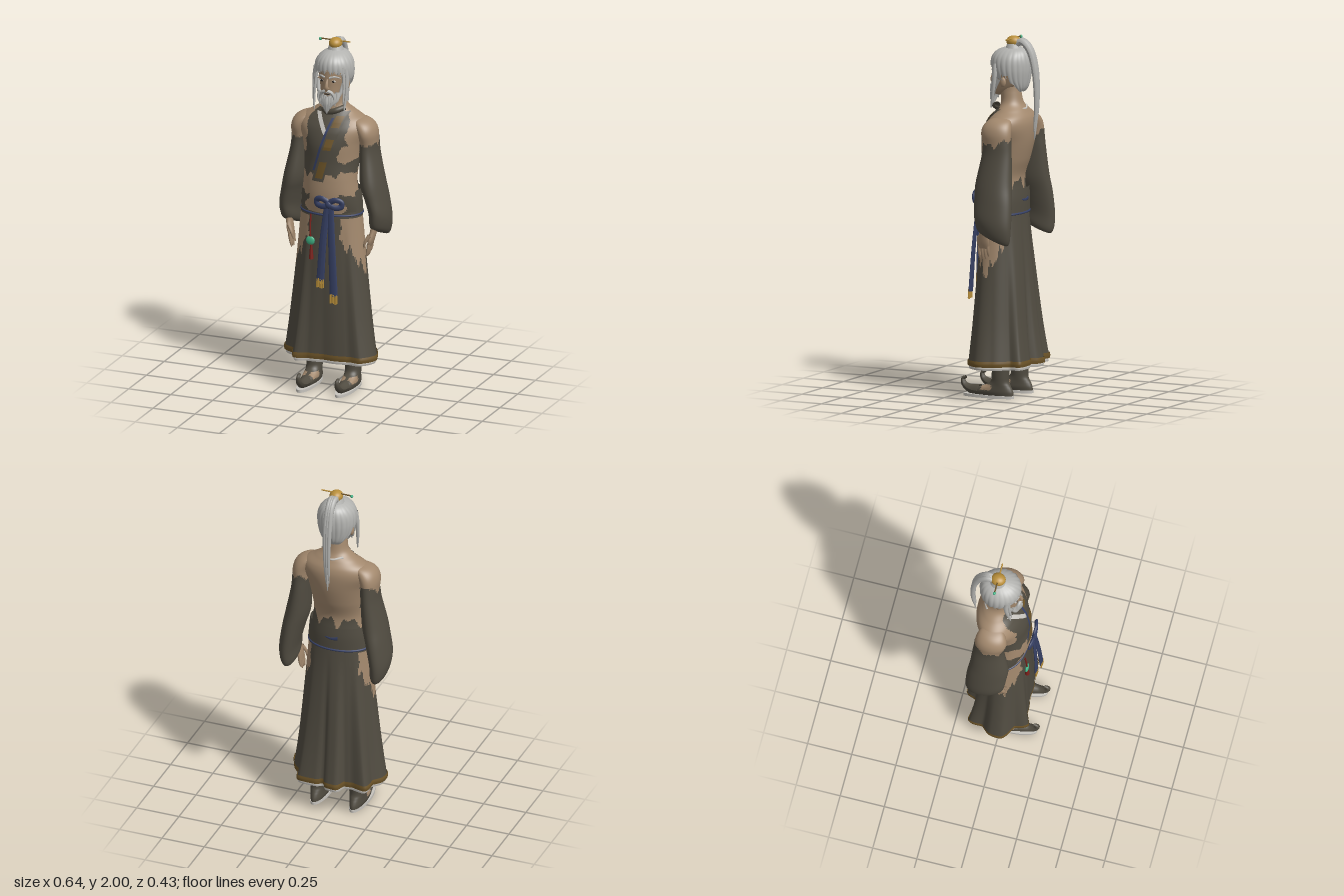
import * as THREE from 'three';

const mat = (name, color) => new THREE.MeshStandardMaterial({ name, color, side: THREE.DoubleSide });
const skin = mat('skin', 0xa2886d), cloth = mat('darkCloth', 0x514c41), hair = mat('greyHair', 0xb3b3b0),
  gold = mat('gold', 0xb98f3a), blue = mat('blueCord', 0x364064), jade = mat('jade', 0x40b083),
  red = mat('redCord', 0x7c211b), white = mat('paleSole', 0xc6c3bd), brown = mat('brownTrim', 0x6d5428),
  dark = mat('eyeDark', 0x2b2622);

const V = (x, y, z) => new THREE.Vector3(x, y, z);
const jag = v => 0.016 * Math.sin(v * 37) + 0.01 * Math.sin(v * 71 + 1);
const spline = (a, b, c, d, t) => b + 0.5 * t * (c - a + t * (2 * a - 5 * b + 4 * c - d + t * (3 * (b - c) + d - a)));

function add(parent, name, geo, material, pos = [0, 0, 0], scale = [1, 1, 1]) {
  const m = new THREE.Mesh(geo, material);
  m.name = name;
  m.position.set(...pos);
  m.scale.set(...scale);
  parent.add(m);
  return m;
}

// Smooth skin over elliptical rings [y, cx, cz, rx, rz], listed upwards.
// wave(angle, y) scales the radius; pick(x, y, z, angle) gives a material index or -1 for a gap.
function loft(rows, { n = 40, steps = 5, wave = () => 1, pick = () => 0, mats = 1, bend } = {}) {
  const pos = [], lists = Array.from({ length: mats }, () => []);
  const R = (rows.length - 1) * steps;
  for (let i = 0; i <= R; i++) {
    const k = Math.min(Math.floor(i / steps), rows.length - 2), t = i / steps - k;
    const at = j => rows[Math.max(0, Math.min(rows.length - 1, j))];
    const [y, cx, cz, rx, rz] = rows[0].map((_, c) => spline(at(k - 1)[c], at(k)[c], at(k + 1)[c], at(k + 2)[c], t));
    for (let j = 0; j < n; j++) {
      const a = j / n * Math.PI * 2, w = wave(a, y);
      const p = V(cx + rx * w * Math.sin(a), y, cz + rz * w * Math.cos(a));
      if (bend) bend(p);
      pos.push(p.x, p.y, p.z);
    }
  }
  for (let i = 0; i < R; i++) for (let j = 0; j < n; j++) {
    const a = i * n + j, b = i * n + (j + 1) % n, c = b + n, d = a + n;
    for (const f of [[a, b, c], [a, c, d]]) {
      const mid = o => (pos[f[0] * 3 + o] + pos[f[1] * 3 + o] + pos[f[2] * 3 + o]) / 3;
      let ang = (j + 0.5) / n * Math.PI * 2;
      if (ang > Math.PI) ang -= Math.PI * 2;
      const m = pick(mid(0), mid(1), mid(2), ang);
      if (m >= 0) lists[m].push(...f);
    }
  }
  const g = new THREE.BufferGeometry();
  g.setAttribute('position', new THREE.Float32BufferAttribute(pos, 3));
  g.setIndex(lists.flat());
  let start = 0;
  if (mats > 1) lists.forEach((l, m) => { g.addGroup(start, l.length, m); start += l.length; });
  g.computeVertexNormals();
  return g;
}

// Tube with radius rule r(t), squashed by [sx, sy, sz].
function strand(pts, r, squash = [1, 1, 1], closed = false, seg = 24) {
  const path = new THREE.CatmullRomCurve3(pts.map(p => V(...p)), closed);
  const g = new THREE.TubeGeometry(path, seg, 1, 10, closed), P = g.attributes.position;
  const s = V(...squash), v = V(0, 0, 0);
  for (let i = 0; i < P.count; i++) {
    const t = Math.floor(i / 11) / seg, c = path.getPointAt(t);
    v.fromBufferAttribute(P, i).sub(c).multiplyScalar(r(t)).multiply(s).add(c);
    P.setXYZ(i, v.x, v.y, v.z);
  }
  g.computeVertexNormals();
  return g;
}
const taper = r => t => r * Math.sqrt(Math.max(0, 1 - t)) + 0.0005;
const even = r => () => r;

const torsoRows = [[0.9, 0, 0, 0.16, 0.1], [1.03, 0, 0.005, 0.172, 0.112], [1.12, 0, 0.015, 0.163, 0.12],
  [1.22, 0, 0.018, 0.152, 0.116], [1.32, 0, -0.003, 0.156, 0.128], [1.42, 0, -0.018, 0.172, 0.138],
  [1.5, 0, -0.034, 0.2, 0.13], [1.55, 0, -0.046, 0.182, 0.11], [1.59, 0, -0.05, 0.12, 0.082],
  [1.63, 0, -0.042, 0.07, 0.062], [1.69, 0, -0.035, 0.056, 0.056], [1.75, 0, -0.03, 0.054, 0.055]];

function chestZ(x, y) {
  const k = Math.max(1, torsoRows.findIndex(r => r[0] >= y)), a = torsoRows[k - 1], b = torsoRows[k];
  const t = (y - a[0]) / (b[0] - a[0]), L = c => a[c] + (b[c] - a[c]) * t;
  return L(2) + L(4) * Math.sqrt(Math.max(0.05, 1 - (x / L(3)) ** 2));
}

// Flat band lying on the chest between two points.
function band(x0, y0, x1, y1, half, lift) {
  const g = new THREE.PlaneGeometry(2, 1, 6, 24), P = g.attributes.position;
  for (let i = 0; i < P.count; i++) {
    const t = 0.5 - P.getY(i), x = x0 + (x1 - x0) * t + P.getX(i) * half, y = y0 + (y1 - y0) * t;
    P.setXYZ(i, x, y, chestZ(x, y) + lift);
  }
  g.computeVertexNormals();
  return g;
}

function buildTorso(g) {
  const tear = (x, y, cx, cy, rx, ry) => Math.hypot((x - cx) / rx, (y - cy) / ry) < 1 + 6 * jag(x + y);
  add(g, 'torso', loft(torsoRows, { n: 128, steps: 10, mats: 2, pick: (x, y, z) => {
    if (z > 0) {
      const edge = (y < 1.4 ? 0.17 : 0.12) + 0.5 * jag(y);
      const chest = y > 1.25 + 0.15 * Math.max(0, x) + 0.7 * jag(x * 2) && y < 1.61 && Math.abs(x) < edge
        && Math.abs(x) < 0.07 + (1.62 - y) * 0.8 && !tear(x, y, 0.125, 1.375, 0.05, 0.05) && !tear(x, y, -0.145, 1.41, 0.035, 0.045);
      const hip = Math.abs(x) > 0.1 + jag(y) && y < 1.14 + 0.6 * jag(x * 2);
      return chest || hip ? 1 : 0;
    }
    const pit = z > -0.05 && y > 1.28 && y < 1.38 + jag(z * 3);
    return pit || y < 1.19 + 1.6 * jag(x * 1.5) ? 1 : 0;
  } }), [skin, cloth]);
  // Crossed lapel with brown patches and piping
  add(g, 'lapel', band(0.07, 1.6, -0.03, 1.22, 0.036, 0.008), cloth);
  for (const [a, b] of [[0.05, 0.2], [0.36, 0.52], [0.7, 0.95]])
    add(g, 'lapelPatch', band(0.073 - 0.1 * a, 1.6 - 0.38 * a, 0.073 - 0.1 * b, 1.6 - 0.38 * b, 0.022, 0.011), brown);
  add(g, 'lapelPiping', band(0.03, 1.57, -0.055, 1.28, 0.007, 0.012), blue);
  add(g, 'underCollar', band(-0.065, 1.59, 0.015, 1.47, 0.014, 0.007), white);
  add(g, 'collar', strand([[-0.045, 1.6, 0.01], [-0.01, 1.595, 0.04], [0.04, 1.61, 0.045], [0.08, 1.625, 0.01]], even(0.016)), cloth);
  add(g, 'backCollar', strand([[-0.06, 1.61, -0.095], [0, 1.6, -0.122], [0.05, 1.605, -0.105]], taper(0.008)), white);
  // Sash around the back and blue waist cord
  add(g, 'sash', loft([[1.03, 0, 0, 0.179, 0.12], [1.1, 0, 0, 0.174, 0.122], [1.16, 0, 0, 0.167, 0.118]],
    { n: 64, pick: (x, y, z) => z > 0.04 + jag(y * 2) ? -1 : 0 }), cloth);
  add(g, 'sashMark', strand([[-0.035, 1.1, -0.12], [0, 1.095, -0.123], [0.04, 1.1, -0.12]], taper(0.01), [1, 1, 0.3]), blue);
  const ring = Array.from({ length: 16 }, (_, i) => [0.177 * Math.sin(i * Math.PI / 8), 1.022, 0.117 * Math.cos(i * Math.PI / 8)]);
  add(g, 'waistCord', strand(ring, even(0.006), [1, 1, 1], true, 64), blue);
}

// Pleat corners of the hem as [x, z], turned into radius factors by angle
const HEM = { cz: -0.016, rx: 0.262, rz: 0.177 };
const pleats = [[-0.06, -0.21], [-0.085, -0.155], [-0.13, -0.148], [-0.21, -0.165], [-0.225, -0.08], [-0.265, -0.03], [-0.265, 0.04],
  [-0.19, 0.09], [-0.158, 0.162], [-0.09, 0.138], [0, 0.13], [0.09, 0.132], [0.15, 0.118], [0.212, 0.124], [0.27, 0.05], [0.25, -0.04],
  [0.185, -0.12], [0.178, -0.18], [0.07, -0.188], [0.03, -0.165], [0.005, -0.205]]
  .map(([x, z]) => [Math.atan2(x / HEM.rx, (z - HEM.cz) / HEM.rz), Math.hypot(x / HEM.rx, (z - HEM.cz) / HEM.rz)])
  .sort((p, q) => p[0] - q[0]);
const fold = (angle, y) => {
  const a = angle > Math.PI ? angle - 2 * Math.PI : angle, N = pleats.length;
  const k = pleats.findIndex(p => p[0] > a), hi = Math.max(k, 0), lo = (hi + N - 1) % N;
  const wrap = v => (v + 4 * Math.PI) % (2 * Math.PI);
  const t = wrap(a - pleats[lo][0]) / wrap(pleats[hi][0] - pleats[lo][0]);
  const m = THREE.MathUtils.lerp(pleats[lo][1], pleats[hi][1], THREE.MathUtils.lerp(t, t * t * (3 - 2 * t), 0.5));
  return 1 + THREE.MathUtils.clamp((1 - y) / 0.8, 0, 1) * (m - 1);
};

function buildSkirt(g) {
  // Torn at both hips, showing skin
  add(g, 'skirt', loft([[0.19, 0, HEM.cz, HEM.rx, HEM.rz], [0.4, 0, -0.01, 0.236, 0.158], [0.7, 0, -0.004, 0.205, 0.138],
    [0.9, 0, 0, 0.187, 0.123], [1.04, 0, 0.003, 0.175, 0.114]], { n: 128, steps: 12, wave: fold, mats: 2,
    pick: (x, y, z, a) => {
      const s = Math.abs(a) - 1.4;
      return Math.abs(s) < 0.86 + 2 * jag(y) && y < 1.005 && y > 0.69 + 0.22 * Math.abs(s) + 1.6 * jag(a * 0.45) ? 1 : 0;
    } }), [cloth, skin]);
  const hem = (name, y0, y1, k, m) => add(g, name, loft([[y0, 0, HEM.cz, HEM.rx * k, HEM.rz * k],
    [(y0 + y1) / 2, 0, HEM.cz, HEM.rx * (k + 0.012), HEM.rz * (k + 0.012)], [y1, 0, HEM.cz, HEM.rx * k, HEM.rz * k]], { n: 128, wave: fold }), m);
  hem('hemTrim', 0.188, 0.22, 1.008, brown);
  hem('hemLining', 0.17, 0.192, 0.97, white);
}

function buildBow(g) {
  // Bow loops, knot and hanging tails
  for (const s of [-1, 1])
    add(g, 'bowLoop', strand([[0.04, 1.1, 0.142], [0.04 + s * 0.04, 1.126, 0.145], [0.04 + s * 0.074, 1.114, 0.136],
      [0.04 + s * 0.07, 1.088, 0.136], [0.04 + s * 0.03, 1.082, 0.145]], even(0.016), [1, 1, 0.6], true, 40), blue);
  add(g, 'bowKnot', new THREE.SphereGeometry(1, 16, 12), blue, [0.04, 1.095, 0.146], [0.02, 0.022, 0.014]);
  const tails = [[[0.03, 1.08, 0.142], [0.012, 0.88, 0.158], [0, 0.655, 0.166]], [[0.05, 1.08, 0.142], [0.068, 0.82, 0.162], [0.083, 0.575, 0.173]]];
  for (const t of tails) {
    add(g, 'sashTail', strand(t, t => 0.019 + 0.005 * t, [1, 1, 0.3]), blue);
    const [x, y, z] = t[2];
    for (let i = -2; i <= 2; i++)
      add(g, 'tailFringe', new THREE.CylinderGeometry(0.004, 0.005, 0.05, 6), gold, [x + i * 0.009, y - 0.012 - 0.004 * (i % 2), z + 0.004]);
  }
  // Pendant
  add(g, 'pendantCord', strand([[-0.075, 1.02, 0.122], [-0.075, 0.95, 0.13], [-0.072, 0.88, 0.133]], even(0.0045)), red);
  add(g, 'pendant', new THREE.SphereGeometry(1, 18, 12), jade, [-0.073, 0.87, 0.133], [0.026, 0.025, 0.01]);
  add(g, 'pendantTassel', new THREE.CylinderGeometry(0.006, 0.013, 0.08, 10), red, [-0.068, 0.805, 0.133]);
}

function buildLimbs(s) {
  const g = new THREE.Group();
  g.name = s > 0 ? 'leftLimbs' : 'rightLimbs';
  const X = rows => s > 0 ? rows : rows.map(([y, x, ...r]) => [y, -x, ...r]);
  add(g, 'upperArm', loft(X([[1.32, 0.2, -0.05, 0.042, 0.055], [1.42, 0.2, -0.048, 0.048, 0.078], [1.48, 0.196, -0.042, 0.054, 0.088],
    [1.525, 0.178, -0.042, 0.056, 0.08], [1.555, 0.15, -0.046, 0.045, 0.055], [1.57, 0.12, -0.05, 0.003, 0.003]])), skin);
  // Wide sleeve with a slanted cuff and a ragged top, higher at the back
  add(g, 'sleeve', loft(X([[0.915, 0.26, -0.055, 0.002, 0.004], [0.905, 0.26, -0.055, 0.03, 0.075], [0.93, 0.263, -0.055, 0.048, 0.1],
    [1.0, 0.266, -0.055, 0.055, 0.11], [1.1, 0.248, -0.05, 0.06, 0.112], [1.2, 0.226, -0.042, 0.064, 0.108],
    [1.35, 0.206, -0.05, 0.052, 0.09], [1.43, 0.2, -0.05, 0.051, 0.084], [1.5, 0.192, -0.042, 0.056, 0.09]]), { n: 56,
    bend: p => { p.y += 0.42 * (p.z + 0.055) * THREE.MathUtils.clamp((1.15 - p.y) / 0.2, 0, 1); },
    pick: (x, y, z) => y > 1.42 + 0.6 * jag(z * 2 + x) + 0.5 * Math.max(0, -z - 0.06) ? -1 : 0 }), cloth);
  // Hand with fingers
  add(g, 'palm', loft(X([[0.845, 0.232, 0.016, 0.01, 0.03], [0.88, 0.24, 0.016, 0.016, 0.037], [0.93, 0.25, 0.006, 0.018, 0.028],
    [0.98, 0.255, 0, 0.02, 0.022]]), { n: 20 }), skin);
  for (let i = 0; i < 4; i++) {
    const z = -0.01 + i * 0.018, y = 0.785 + (i === 0 ? 0.015 : 0);
    add(g, 'finger', strand([[s * 0.235, 0.86, z], [s * 0.23, 0.825, z], [s * 0.222, y, z]], t => 0.009 * Math.sqrt(1.02 - t * t), undefined, false, 10), skin);
  }
  add(g, 'thumb', strand([[s * 0.24, 0.91, 0.04], [s * 0.218, 0.87, 0.052], [s * 0.21, 0.835, 0.05]], taper(0.012)), skin);
  // Leg and upturned shoe
  add(g, 'legAndShoe', loft(X([[0.015, 0.115, 0.015, 0.038, 0.122], [0.035, 0.115, 0.02, 0.044, 0.125], [0.055, 0.115, 0.008, 0.044, 0.105],
    [0.072, 0.115, -0.012, 0.043, 0.075], [0.095, 0.115, -0.024, 0.044, 0.052], [0.14, 0.115, -0.028, 0.047, 0.049],
    [0.25, 0.115, -0.03, 0.05, 0.052], [0.5, 0.1, -0.01, 0.06, 0.06]]),
  { mats: 2, pick: (x, y, z) => y > 0.045 && y < 0.075 && z > 0.01 && z < 0.08 && Math.abs(Math.abs(x) - 0.115) > 0.01 ? 1 : 0 }), [cloth, skin]);
  add(g, 'shoeSole', new THREE.CylinderGeometry(1, 1, 1, 32), white, [s * 0.115, 0.009, 0.045], [0.046, 0.016, 0.155]);
  add(g, 'toeCurl', strand([[s * 0.115, 0.035, 0.1], [s * 0.115, 0.042, 0.16], [s * 0.115, 0.066, 0.196], [s * 0.115, 0.095, 0.202], [s * 0.115, 0.105, 0.184]],
    t => 0.026 * (1 - t) + 0.008), cloth);
  return g;
}

function buildHead(g) {
  add(g, 'face', loft([[1.665, 0, 0.035, 0.004, 0.004], [1.675, 0, 0.03, 0.03, 0.035], [1.7, 0, 0.005, 0.056, 0.066], [1.75, 0, -0.02, 0.07, 0.09],
    [1.81, 0, -0.03, 0.08, 0.1], [1.87, 0, -0.035, 0.08, 0.095], [1.92, 0, -0.04, 0.03, 0.035]]), skin);
  add(g, 'nose', strand([[0, 1.795, 0.066], [0, 1.765, 0.079], [0, 1.745, 0.08], [0, 1.737, 0.066]], t => 0.005 + 0.009 * t), skin);
  add(g, 'mouth', new THREE.SphereGeometry(1, 12, 8), dark, [0, 1.708, 0.071], [0.016, 0.003, 0.005]);
  // Fluted hair cap: open at the face and ears, long at the temples
  const cap = (a, y) => 1 + 0.035 * Math.abs(Math.sin(11 * a)) * Math.min(1, (1.95 - y) * 10);
  const hairline = b => b < 0.8 ? 1.845 - 0.03 * b : b < 1.35 ? 1.765 : b < 1.8 ? 1.785 : Math.max(1.69, 1.76 - 0.2 * (b - 1.8));
  add(g, 'hairCap', loft([[1.695, 0, -0.09, 0.045, 0.025], [1.72, 0, -0.075, 0.07, 0.055], [1.76, 0, -0.05, 0.094, 0.09], [1.82, 0, -0.038, 0.106, 0.11],
    [1.88, 0, -0.036, 0.099, 0.109], [1.92, 0, -0.042, 0.068, 0.082], [1.945, 0, -0.05, 0.015, 0.02]], { n: 154, steps: 8, wave: cap,
    pick: (x, y, z, a) => y < hairline(Math.abs(a)) + 0.4 * jag(a) ? -1 : 0 }), hair);
  for (const s of [-1, 1]) {
    add(g, 'ear', new THREE.SphereGeometry(1, 14, 10), skin, [s * 0.082, 1.75, -0.025], [0.012, 0.028, 0.018]);
    add(g, 'eye', new THREE.SphereGeometry(1, 14, 8), white, [s * 0.034, 1.783, 0.06], [0.014, 0.006, 0.007]);
    add(g, 'pupil', new THREE.SphereGeometry(1, 10, 8), dark, [s * 0.034, 1.783, 0.065], [0.008, 0.006, 0.004]);
    add(g, 'eyebrow', strand([[s * 0.012, 1.803, 0.07], [s * 0.04, 1.81, 0.061], [s * 0.07, 1.797, 0.035]], taper(0.006)), hair);
    add(g, 'moustache', strand([[s * 0.004, 1.728, 0.077], [s * 0.028, 1.718, 0.072], [s * 0.042, 1.68, 0.066], [s * 0.045, 1.64, 0.068]], taper(0.01)), hair);
    // Side locks and forehead wisps
    add(g, 'sideLock', strand([[s * 0.085, 1.85, 0.02], [s * 0.094, 1.8, 0.018], [s * 0.096, 1.73, 0.025], [s * 0.088, 1.6, 0.045]], taper(0.014)), hair);
    add(g, 'thinLock', strand([[s * 0.075, 1.86, 0.03], [s * 0.084, 1.77, 0.033], [s * 0.086, 1.65, 0.05]], taper(0.011)), hair);
    add(g, 'cheekBeard', strand([[s * 0.075, 1.77, 0.005], [s * 0.067, 1.72, 0.03], [s * 0.045, 1.66, 0.055]], taper(0.014)), hair);
    for (const x of [0.012, 0.05])
      add(g, 'foreheadWisp', strand([[s * x, 1.885, 0.058 - x * 0.4], [s * (x + 0.002), 1.86, 0.072 - x * 0.4], [s * (x + 0.006), 1.82, 0.072 - x * 0.4]], taper(0.012)), hair);
  }
  for (let i = -4; i <= 4; i++) {
    const b = Math.abs(i);
    add(g, 'beardLock', strand([[i * 0.013, 1.692 + b * 0.006, 0.066 - b * 0.006], [i * 0.013, 1.66 + b * 0.004, 0.078 - b * 0.005],
      [i * 0.007, 1.595 + b * 0.013, 0.076]], taper(0.015)), hair);
  }
  // Topknot, gold crown, pin and ponytail
  add(g, 'topknot', new THREE.CylinderGeometry(0.032, 0.046, 0.035, 20), hair, [0, 1.948, -0.05]);
  add(g, 'crown', new THREE.SphereGeometry(1, 24, 16), gold, [0, 1.968, -0.05], [0.037, 0.032, 0.042]);
  for (const [x, m] of [[-0.045, brown], [0.043, gold]])
    add(g, 'hairPin', new THREE.CylinderGeometry(0.004, 0.004, 0.088, 8), m, [x, 1.985, -0.048]).rotation.z = Math.PI / 2;
  add(g, 'pinBead', new THREE.SphereGeometry(0.009, 12, 10), jade, [-0.09, 1.982, -0.048]);
  for (const x of [-0.011, 0, 0.011])
    add(g, 'ponytailStrand', strand([[x * 0.8, 1.95, -0.065], [x, 1.972, -0.1], [x, 1.935, -0.145], [x * 1.1, 1.83, -0.18],
      [x * 0.9, 1.63, -0.192], [x * 0.7, 1.43 + Math.abs(x) * 4, -0.178]], t => 0.02 * Math.pow(1.001 - t, 0.45), [0.85, 1, 1], false, 40), hair);
}

export function createModel() {
  const root = new THREE.Group();
  root.name = 'robedElder';
  for (const [name, build] of [['upperBody', buildTorso], ['skirtGroup', buildSkirt], ['bowAndPendant', buildBow], ['head', buildHead]]) {
    const g = new THREE.Group();
    g.name = name;
    build(g);
    root.add(g);
  }
  for (const s of [-1, 1]) root.add(buildLimbs(s));
  return root;
}
